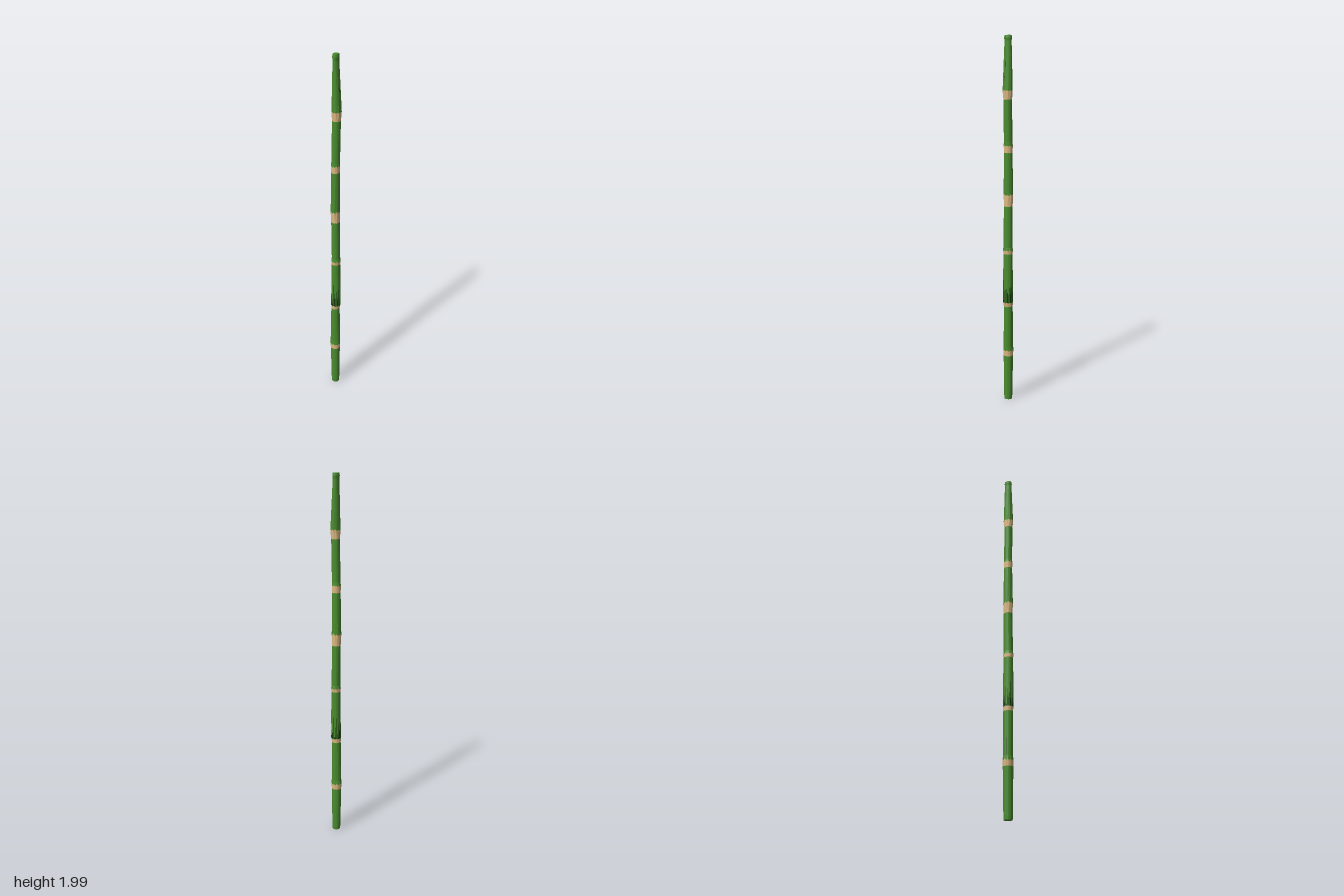
import * as THREE from 'three';

const SIDES = 20;
// Centreline and radii up the stalk: y, centre x, centre z, radius x, radius z
const PROFILE = [
  [0, 0, 0, 0.022, 0.022], [0.02, 0, 0, 0.023, 0.023],
  [0.255, -0.001, 0, 0.027, 0.026], [0.29, -0.002, 0, 0.030, 0.028],
  [0.31, -0.001, 0, 0.028, 0.025], [0.541, 0, 0, 0.024, 0.025],
  [0.566, 0.002, 0, 0.027, 0.027], [0.7, 0.003, 0, 0.026, 0.027],
  [0.835, 0.002, 0, 0.024, 0.025], [0.86, 0.003, 0, 0.026, 0.029],
  [0.875, 0.003, 0, 0.023, 0.025], [1.1, 0, 0, 0.023, 0.024],
  [1.16, -0.001, 0, 0.025, 0.027], [1.175, -0.001, 0, 0.023, 0.023],
  [1.385, 0, 0, 0.022, 0.023], [1.425, 0, 0, 0.024, 0.025],
  [1.44, 0.001, 0, 0.022, 0.023], [1.66, 0.005, 0, 0.022, 0.023],
  [1.705, 0.006, 0, 0.025, 0.028], [1.72, 0.006, 0, 0.022, 0.025],
  [1.96, 0.002, 0, 0.015, 0.02], [1.975, 0.002, 0, 0.017, 0.022],
  [1.988, 0.002, 0, 0.015, 0.02],
];
// Joints: lower edge, upper edge, raggedness of the upper edge
const JOINTS = [
  [0.256, 0.292, 0.008], [0.541, 0.567, 0.005], [0.837, 0.861, 0.005],
  [1.098, 1.166, 0.009], [1.384, 1.426, 0.007], [1.661, 1.711, 0.006],
];

// A point on the stalk's surface at side i and height y
function surface(i, y, out = 0) {
  let k = 0;
  while (k < PROFILE.length - 2 && PROFILE[k + 1][0] < y) k++;
  const a = PROFILE[k], b = PROFILE[k + 1];
  const t = (y - a[0]) / (b[0] - a[0]);
  const [cx, cz, rx, rz] = [1, 2, 3, 4].map(n => a[n] + (b[n] - a[n]) * t);
  const ang = i / SIDES * Math.PI * 2;
  return [cx + Math.sin(ang) * (rx + out), y, cz + Math.cos(ang) * (rz + out)];
}

function geometryOf(points) {
  const g = new THREE.BufferGeometry();
  g.setAttribute('position', new THREE.Float32BufferAttribute(points.flat(), 3));
  g.computeVertexNormals();
  return g;
}

// A sleeve of the stalk between two edges, whose height may vary by side
function sleeve(low, high) {
  const pts = [];
  const start = low(0), end = high(0);
  const stops = PROFILE.map(p => p[0]).filter(y => y > start + 0.012 && y < end - 0.012);
  const edges = [low, ...stops.map(y => () => y), high];
  for (let r = 0; r < edges.length - 1; r++) {
    for (let i = 0; i < SIDES; i++) {
      const j = (i + 1) % SIDES;
      const a = surface(i, edges[r](i)), b = surface(j, edges[r](j));
      const c = surface(j, edges[r + 1](j)), d = surface(i, edges[r + 1](i));
      pts.push(a, b, c, a, c, d);
    }
  }
  return geometryOf(pts);
}

// Flat end of the stalk
function cap(y, up) {
  const pts = [];
  const p = PROFILE[up ? PROFILE.length - 1 : 0];
  for (let i = 0; i < SIDES; i++) {
    const a = surface(i, y), b = surface(i + 1, y), c = [p[1], y, p[2]];
    pts.push(...(up ? [c, a, b] : [c, b, a]));
  }
  return geometryOf(pts);
}

export function createModel() {
  const model = new THREE.Group();
  const material = (name, color) => {
    const m = new THREE.MeshStandardMaterial({ color });
    m.name = name;
    m.flatShading = true;
    return m;
  };
  const green = material('stalk green', 0x4a8c30);
  const tan = material('joint tan', 0xdebb84);
  const dark = material('streak dark green', 0x17380f);
  const add = (name, geometry, mat) => {
    const mesh = new THREE.Mesh(geometry, mat);
    mesh.name = name;
    model.add(mesh);
  };

  // Green lengths and ragged tan joints, alternating upwards
  let low = () => 0;
  JOINTS.forEach(([y0, y1, rag], n) => {
    const bottom = i => y0 + (i % 2) * 0.002;
    const top = i => y1 + rag * (i % 2 ? -1 : 0.3 * Math.sin(i * 2.3 + n));
    add('stalkSection' + (n + 1), sleeve(low, bottom), green);
    add('joint' + (n + 1), sleeve(bottom, top), tan);
    low = top;
  });
  const height = PROFILE[PROFILE.length - 1][0];
  add('stalkSection7', sleeve(low, () => height), green);
  add('topCap', cap(height, true), green);
  add('bottomCap', cap(0, false), green);

  // Tapering dark streaks rising from the joints
  const streaks = [];
  const streak = (i, y, rise, width) => streaks.push(
    surface(i - width, y, 0.0008), surface(i + width, y, 0.0008), surface(i, y + rise, 0.0008));
  for (let i = 0; i < SIDES; i++) streak(i + 0.5, 0.567, 0.12 + 0.035 * Math.sin(i * 2.7), 0.36);
  for (const i of [4, 5]) streak(i + 0.5, 1.72, 0.14 + 0.02 * (i % 3), 0.25);
  streak(15, 0.31, 0.12, 0.25);
  add('darkStreaks', geometryOf(streaks), dark);

  return model;
}
